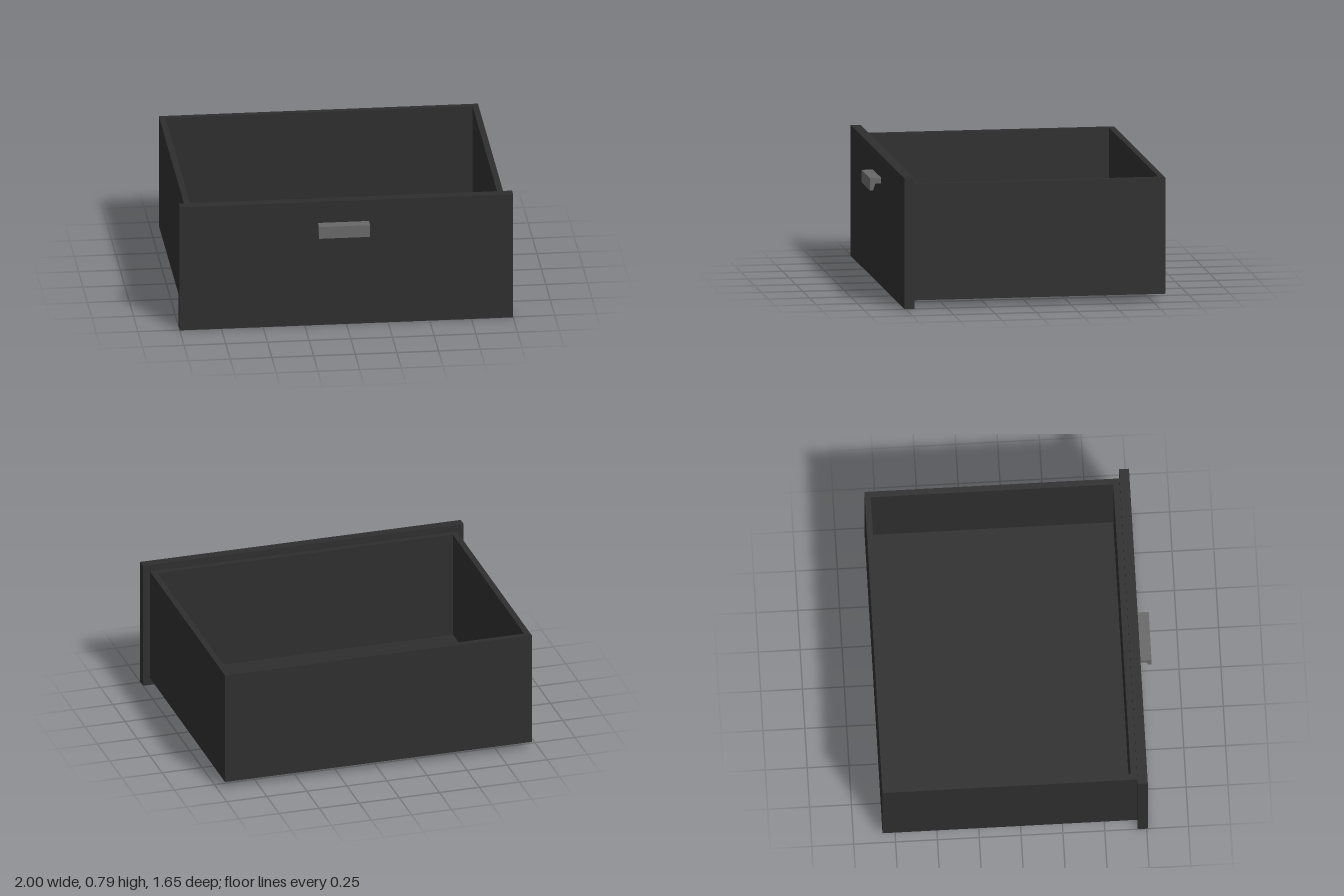
import * as THREE from 'three';

export function createModel() {
  const drawer = new THREE.Group();
  drawer.name = 'drawer';
  const black = new THREE.MeshStandardMaterial({ color: 0x2e2e2e });
  black.name = 'charcoal';
  const grey = new THREE.MeshStandardMaterial({ color: 0x686868 });
  grey.name = 'handle grey';

  const add = (name, geometry, material) => {
    const mesh = new THREE.Mesh(geometry, material);
    mesh.name = name;
    drawer.add(mesh);
    return mesh;
  };

  // Box between two opposite corners
  const block = (name, [x0, y0, z0], [x1, y1, z1]) =>
    add(name, new THREE.BoxGeometry(x1 - x0, y1 - y0, z1 - z0), black)
      .position.set((x0 + x1) / 2, (y0 + y1) / 2, (z0 + z1) / 2);

  // Front panel, larger than the tray behind it
  block('frontPanel', [-1, 0, 0.697], [1, 0.79, 0.757]);

  // Four walls as one open ring, raised from a plan outline with a hole
  const rect = (path, x, z0, z1) =>
    path.moveTo(-x, -z1).lineTo(x, -z1).lineTo(x, -z0).lineTo(-x, -z0).closePath();
  const plan = rect(new THREE.Shape(), 0.957, -0.826, 0.697);
  plan.holes.push(rect(new THREE.Path(), 0.921, -0.79, 0.659));
  const walls = new THREE.ExtrudeGeometry(plan, { depth: 0.703, bevelEnabled: false });
  walls.rotateX(-Math.PI / 2);
  add('trayWalls', walls, black).position.y = 0.045;

  // Floor of the tray, fitted inside the walls
  block('trayFloor', [-0.921, 0.045, -0.79], [0.921, 0.09, 0.659]);

  // Hooked pull: side profile in (z, y), extruded along x
  const hook = new THREE.Shape([
    [0.757, 0.655], [0.757, 0.62], [0.793, 0.62],
    [0.806, 0.58], [0.826, 0.58], [0.826, 0.655],
  ].map(([z, y]) => new THREE.Vector2(-z, y)));
  const pull = new THREE.ExtrudeGeometry(hook, { depth: 0.306, bevelEnabled: false });
  pull.rotateY(Math.PI / 2);
  add('handle', pull, grey).position.x = -0.171;

  return drawer;
}
